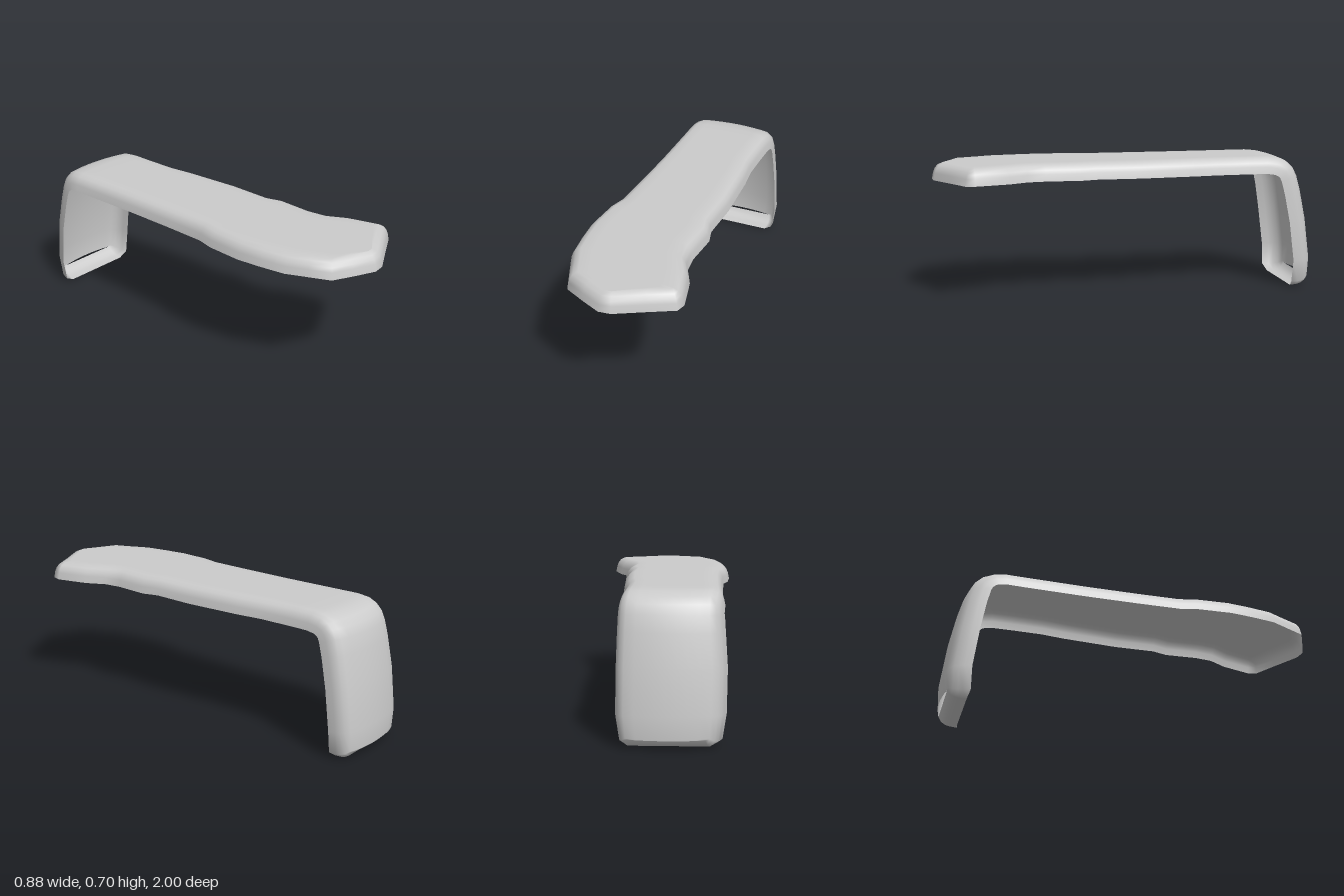
import * as THREE from 'three';

// Plan outline of the unfolded sheet: [left x, left z, right x, right z], front tip to tail end.
const OUTLINE = [
  [0.13, 1.0, 0.19, 0.985], [0.02, 0.967, 0.32, 0.89], [-0.09, 0.93, 0.432, 0.81],
  [-0.15, 0.835, 0.438, 0.76], [-0.21, 0.74, 0.37, 0.6], [-0.25, 0.61, 0.305, 0.51],
  [-0.28, 0.49, 0.28, 0.42], [-0.295, 0.31, 0.265, 0.24], [-0.285, 0.22, 0.23, 0.16],
  [-0.31, 0, 0.205, -0.06], [-0.345, -0.27, 0.145, -0.35], [-0.368, -0.42, 0.11, -0.48],
  [-0.395, -0.6, 0.085, -0.65], [-0.41, -0.72, 0.072, -0.76], [-0.413, -0.8, 0.067, -0.82],
  [-0.414, -0.86, 0.065, -0.87], [-0.415, -0.91, 0.065, -0.91], [-0.418, -0.96, 0.065, -0.96],
  [-0.425, -1.04, 0.065, -1.04], [-0.438, -1.2, 0.065, -1.2], [-0.438, -1.42, 0.063, -1.42],
  [-0.42, -1.55, 0.045, -1.55], [-0.37, -1.578, 0, -1.578],
];

// Rounded rim as [inset, depth] from the open edge up to the flat face.
const RIM = [[0, 0.085], [0.007, 0.05], [0.015, 0.03], [0.03, 0.011], [0.055, 0]];

// Side profile the sheet is folded along: flat top, bend, tail (z, y).
const PROFILE = [
  [1, 0.71], [0.6, 0.71], [0.2, 0.71], [-0.2, 0.71], [-0.5, 0.71], [-0.68, 0.71], [-0.78, 0.708],
  [-0.85, 0.69], [-0.9, 0.645], [-0.93, 0.56], [-0.968, 0.38], [-0.996, 0.15], [-0.985, 0],
];
const path = new THREE.CatmullRomCurve3(PROFILE.map(([z, y]) => new THREE.Vector3(0, y, z)));
path.arcLengthDivisions = 1500;
const pathLength = path.getLength();

// Fold a plan point onto the profile; the bend and tail also bow across their width.
function fold(x, z, depth) {
  const u = THREE.MathUtils.clamp((1 - z) / pathLength, 0, 1);
  const p = path.getPointAt(u);
  const t = path.getTangentAt(u);
  const bow = 0.65 * (x + 0.08) ** 2 * THREE.MathUtils.smoothstep(-z, 0.55, 0.88);
  // tangent (y, z) turned to the inward normal
  return [x, p.y + t.z * depth, p.z - t.y * depth + bow];
}

function shellGeometry() {
  const n = OUTLINE.length;
  const loop = [
    ...OUTLINE.map((o) => new THREE.Vector2(o[0], o[1])),
    ...OUTLINE.map((o) => new THREE.Vector2(o[2], o[3])).reverse(),
  ];
  const count = loop.length;
  const inward = loop.map((p, i) => {
    const a = loop[(i + count - 1) % count];
    const b = loop[(i + 1) % count];
    const d0 = p.clone().sub(a).normalize();
    const d1 = b.clone().sub(p).normalize();
    const d = d0.add(d1).normalize();
    return new THREE.Vector2(-d.y, d.x);
  });

  const positions = [];
  const index = [];
  const add = (x, z, depth) => positions.push(...fold(x, z, depth)) / 3 - 1;

  // Rim: concentric rings stepping inward and up
  const rings = RIM.map(([inset, depth]) => loop.map((p, i) =>
    add(p.x + inward[i].x * inset, p.y + inward[i].y * inset, depth)));
  for (let r = 0; r + 1 < rings.length; r++) {
    for (let i = 0; i < count; i++) {
      const j = (i + 1) % count;
      const [a, b, c, d] = [rings[r][i], rings[r][j], rings[r + 1][i], rings[r + 1][j]];
      index.push(a, c, b, b, c, d);
    }
  }

  // Face: rows joining the left and right sides of the innermost ring
  const columns = 8;
  const inner = rings[rings.length - 1];
  const inset = RIM[RIM.length - 1][0];
  const rows = [];
  for (let i = 0; i < n; i++) {
    const k = count - 1 - i;
    const left = loop[i].clone().addScaledVector(inward[i], inset);
    const right = loop[k].clone().addScaledVector(inward[k], inset);
    const row = [inner[i]];
    for (let c = 1; c < columns; c++) {
      const p = left.clone().lerp(right, c / columns);
      row.push(add(p.x, p.y, 0));
    }
    row.push(inner[k]);
    rows.push(row);
  }
  for (let i = 0; i + 1 < n; i++) {
    for (let c = 0; c < columns; c++) {
      const [a, b, d, e] = [rows[i][c], rows[i][c + 1], rows[i + 1][c], rows[i + 1][c + 1]];
      index.push(a, b, d, b, e, d);
    }
  }

  const geometry = new THREE.BufferGeometry();
  geometry.setAttribute('position', new THREE.Float32BufferAttribute(positions, 3));
  geometry.setIndex(index);
  geometry.computeVertexNormals();
  return geometry;
}

export function createModel() {
  const group = new THREE.Group();
  group.name = 'bentCover';
  // Hollow shell, open underneath
  const material = new THREE.MeshStandardMaterial({ color: 0xcccccc, side: THREE.DoubleSide });
  const shell = new THREE.Mesh(shellGeometry(), material);
  shell.name = 'coverShell';
  group.add(shell);
  return group;
}
